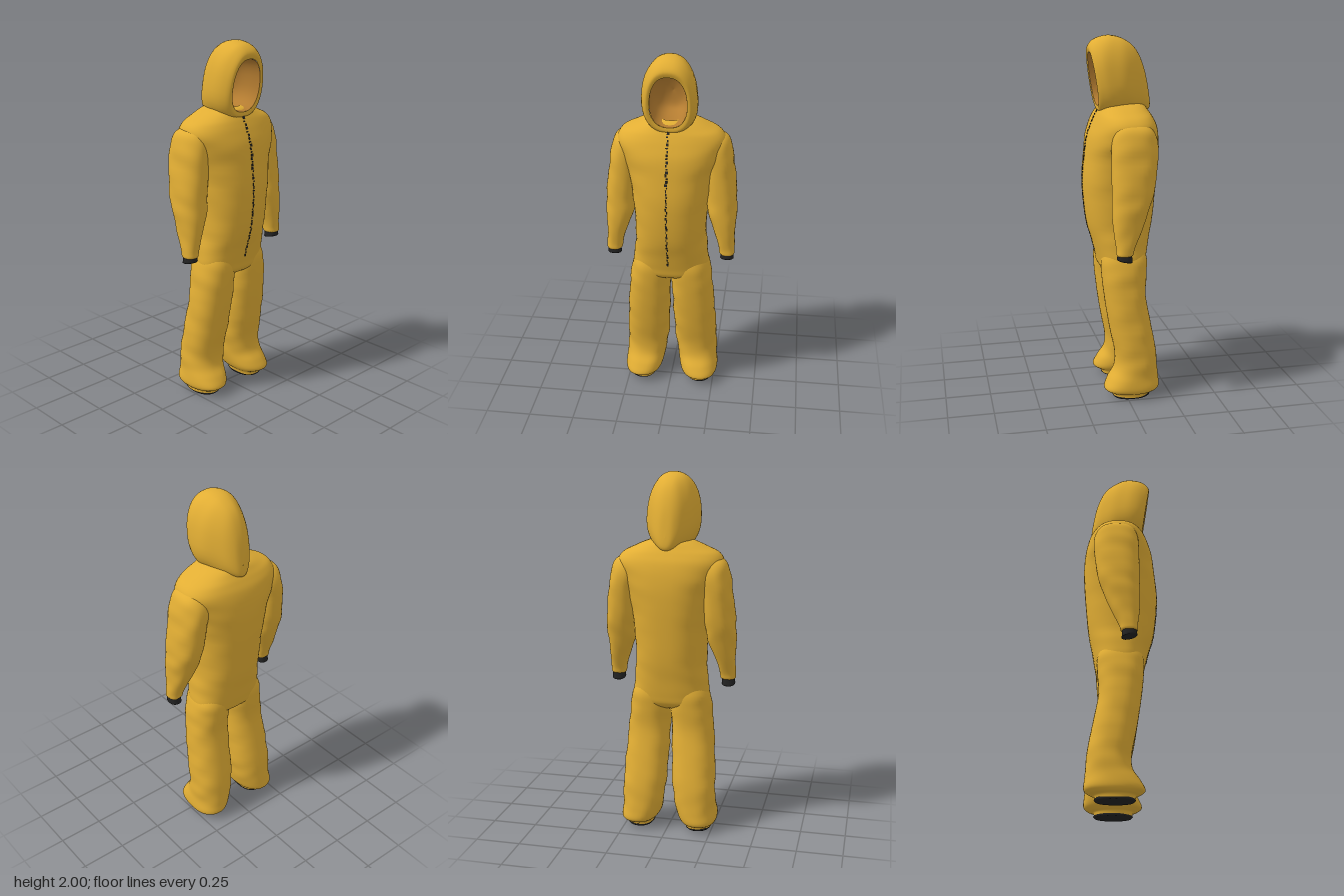
import * as THREE from 'three';

const fabric = new THREE.MeshStandardMaterial({ color: 0xe2ae34 });
fabric.name = 'yellowFabric';
const lining = new THREE.MeshStandardMaterial({ color: 0xb57d31 });
lining.name = 'hoodLining';
lining.side = THREE.DoubleSide;
const dark = new THREE.MeshStandardMaterial({ color: 0x232323 });
dark.name = 'darkTrim';

// Smooth (Catmull-Rom) interpolation between rows of section numbers
function sample(rows, u) {
  const i = Math.min(Math.floor(u), rows.length - 2), f = u - i;
  const at = (k) => rows[Math.max(0, Math.min(rows.length - 1, k))];
  return rows[i].map((b, k) => {
    const a = at(i - 1)[k], c = at(i + 1)[k], d = at(i + 2)[k];
    return b + 0.5 * f * (c - a + f * (2 * a - 5 * b + 4 * c - d + f * (3 * (b - c) + d - a)));
  });
}

// Loft through sections [t, x0, x1, vMax, vMin]; place() maps (x, t, v) to space.
// Vertical lofts list sections downwards, lofts along z list them forwards.
function loft(name, rows, material, { side = 1, p = 2.3, folds = 0, n = 40, steps = 5, place = (x, t, v) => [x, t, v] } = {}) {
  const pos = [], index = [], count = (rows.length - 1) * steps;
  const pw = (c) => Math.sign(c) * Math.abs(c) ** (2 / p);
  for (let i = 0; i <= count; i++) {
    const [t, x0, x1, v1, v0] = sample(rows, i / steps);
    for (let j = 0; j < n; j++) {
      const a = (j / n) * Math.PI * 2, c = Math.cos(a), s = Math.sin(a);
      // soft creases in the cloth, running diagonally round the form
      const k = 1 + folds * (Math.sin(34 * t + 3 * s + 2 * c * side) * 0.6 + Math.sin(61 * t - 4 * c * side) * 0.4) * Math.abs(c);
      const x = side * (x0 + x1) / 2 + (x1 - x0) / 2 * pw(c) * k;
      pos.push(...place(x, t, (v1 + v0) / 2 + (v1 - v0) / 2 * pw(s) * k));
      if (i < count) {
        const A = i * n + j, C = i * n + (j + 1) % n;
        index.push(A, C, A + n, C, C + n, A + n);
      }
    }
  }
  const g = new THREE.BufferGeometry();
  g.setAttribute('position', new THREE.Float32BufferAttribute(pos, 3));
  g.setIndex(index);
  g.computeVertexNormals();
  const mesh = new THREE.Mesh(g, material);
  mesh.name = name;
  return mesh;
}

const sym = (rows) => rows.map(([t, h, v1, v0]) => [t, -h, h, v1, v0]);

const torsoRows = sym([
  [1.65, 0.06, 0.07, -0.08],
  [1.638, 0.125, 0.1, -0.12],
  [1.605, 0.205, 0.122, -0.145],
  [1.575, 0.265, 0.138, -0.164],
  [1.53, 0.29, 0.158, -0.186],
  [1.46, 0.275, 0.182, -0.2],
  [1.36, 0.235, 0.196, -0.205],
  [1.2, 0.207, 0.208, -0.195],
  [1.0, 0.195, 0.19, -0.175],
  [0.88, 0.204, 0.158, -0.152],
  [0.79, 0.212, 0.136, -0.137],
  [0.735, 0.2, 0.12, -0.12],
  [0.7, 0.12, 0.06, -0.06],
  [0.69, 0.002, 0.001, -0.001],
]);

const legRows = [
  [0.9, 0.03, 0.16, 0.09, -0.09],
  [0.8, 0.006, 0.212, 0.125, -0.126],
  [0.71, 0.003, 0.23, 0.125, -0.124],
  [0.58, 0.007, 0.243, 0.112, -0.118],
  [0.4, 0.014, 0.256, 0.085, -0.15],
  [0.26, 0.022, 0.263, 0.058, -0.174],
  [0.17, 0.035, 0.264, 0.062, -0.18],
  [0.11, 0.046, 0.27, 0.1, -0.185],
  [0.06, 0.064, 0.274, 0.124, -0.188],
  [0.038, 0.082, 0.262, 0.1, -0.165],
  [0.028, 0.092, 0.245, 0.078, -0.137],
  [0.008, 0.096, 0.24, 0.072, -0.13],
];

const sleeveRows = [
  [1.565, 0.215, 0.23, -0.01, -0.03],
  [1.555, 0.18, 0.27, 0.04, -0.08],
  [1.525, 0.165, 0.307, 0.076, -0.125],
  [1.46, 0.165, 0.328, 0.094, -0.15],
  [1.35, 0.18, 0.344, 0.098, -0.147],
  [1.2, 0.192, 0.36, 0.098, -0.125],
  [1.1, 0.205, 0.361, 0.1, -0.092],
  [1.0, 0.243, 0.356, 0.096, -0.055],
  [0.91, 0.268, 0.356, 0.085, -0.015],
  [0.875, 0.274, 0.357, 0.084, -0.005],
  [0.868, 0.285, 0.345, 0.07, 0.01],
];

const cuffRows = [
  [0.885, 0.281, 0.35, 0.078, 0.002],
  [0.85, 0.28, 0.353, 0.08, 0.0],
  [0.838, 0.282, 0.35, 0.078, 0.002],
  [0.84, 0.315, 0.317, 0.041, 0.039],
];

const soleRows = [
  [0.014, 0.098, 0.239, 0.07, -0.13],
  [0.001, 0.1, 0.237, 0.068, -0.128],
  [0.001, 0.168, 0.17, -0.029, -0.031],
];

const hoodRows = sym([
  [-0.142, 0.0005, 1.671, 1.669],
  [-0.136, 0.038, 1.82, 1.61],
  [-0.105, 0.078, 1.925, 1.595],
  [-0.045, 0.117, 1.98, 1.587],
  [0.025, 0.143, 2.0, 1.585],
  [0.09, 0.147, 1.99, 1.585],
  [0.13, 0.136, 1.967, 1.59],
  [0.153, 0.117, 1.938, 1.603],
  [0.15, 0.098, 1.91, 1.628],
]);

const liningRows = sym([
  [0.15, 0.098, 1.91, 1.628],
  [0.1, 0.098, 1.912, 1.64],
  [0.0, 0.095, 1.9, 1.65],
  [-0.06, 0.06, 1.85, 1.68],
  [-0.08, 0.0005, 1.766, 1.765],
]);

export function createModel() {
  const model = new THREE.Group();
  model.name = 'hoodedCoverall';
  model.add(loft('torso', torsoRows, fabric, { p: 2.4, folds: 0.014, n: 56 }));

  // Cuffs dip towards the back
  const dip = (x, t, v) => [x, t + 0.2 * (v - 0.04), v];
  for (const side of [1, -1]) {
    const tag = side > 0 ? 'left' : 'right';
    model.add(
      loft(tag + 'Leg', legRows, fabric, { side, folds: 0.03 }),
      loft(tag + 'Sole', soleRows, dark, { side, steps: 2 }),
      loft(tag + 'Sleeve', sleeveRows, fabric, { side, folds: 0.04 }),
      loft(tag + 'Cuff', cuffRows, dark, { side, steps: 2, place: dip }),
    );
  }

  // Hood lofted from back to face opening, leaning forward and narrowing at the top
  const place = (x, t, v) => [x * (1 + 0.5 * (1.76 - v)), v, t + 0.15 * (v - 1.8)];
  model.add(
    loft('hood', hoodRows, fabric, { place, p: 2.35, folds: 0.02 }),
    loft('hoodLining', liningRows, lining, { place, p: 2.35 }),
  );

  // Broken dark zip following the chest, with heavier teeth at the top
  const zip = new THREE.Group();
  zip.name = 'zip';
  const frontAt = (y) => {
    let u = 0;
    while (u < torsoRows.length - 1.02 && sample(torsoRows, u)[0] > y) u += 0.02;
    return sample(torsoRows, u)[3];
  };
  for (let i = 0; i < 46; i++) {
    const y = 1.615 - i * 0.0175, z = frontAt(y), slope = frontAt(y - 0.01) - frontAt(y + 0.01);
    const wide = (i < 17 ? 0.011 : 0.007) + 0.003 * Math.sin(i * 1.7);
    const tooth = new THREE.Mesh(new THREE.BoxGeometry(wide, i % 3 === 2 ? 0.007 : 0.014, 0.006), dark);
    tooth.name = 'zipTooth';
    tooth.position.set(-0.004 + 0.003 * Math.sin(i * 2.3), y, z);
    tooth.rotation.x = -Math.atan2(slope, 0.02);
    zip.add(tooth);
  }
  model.add(zip);
  return model;
}
